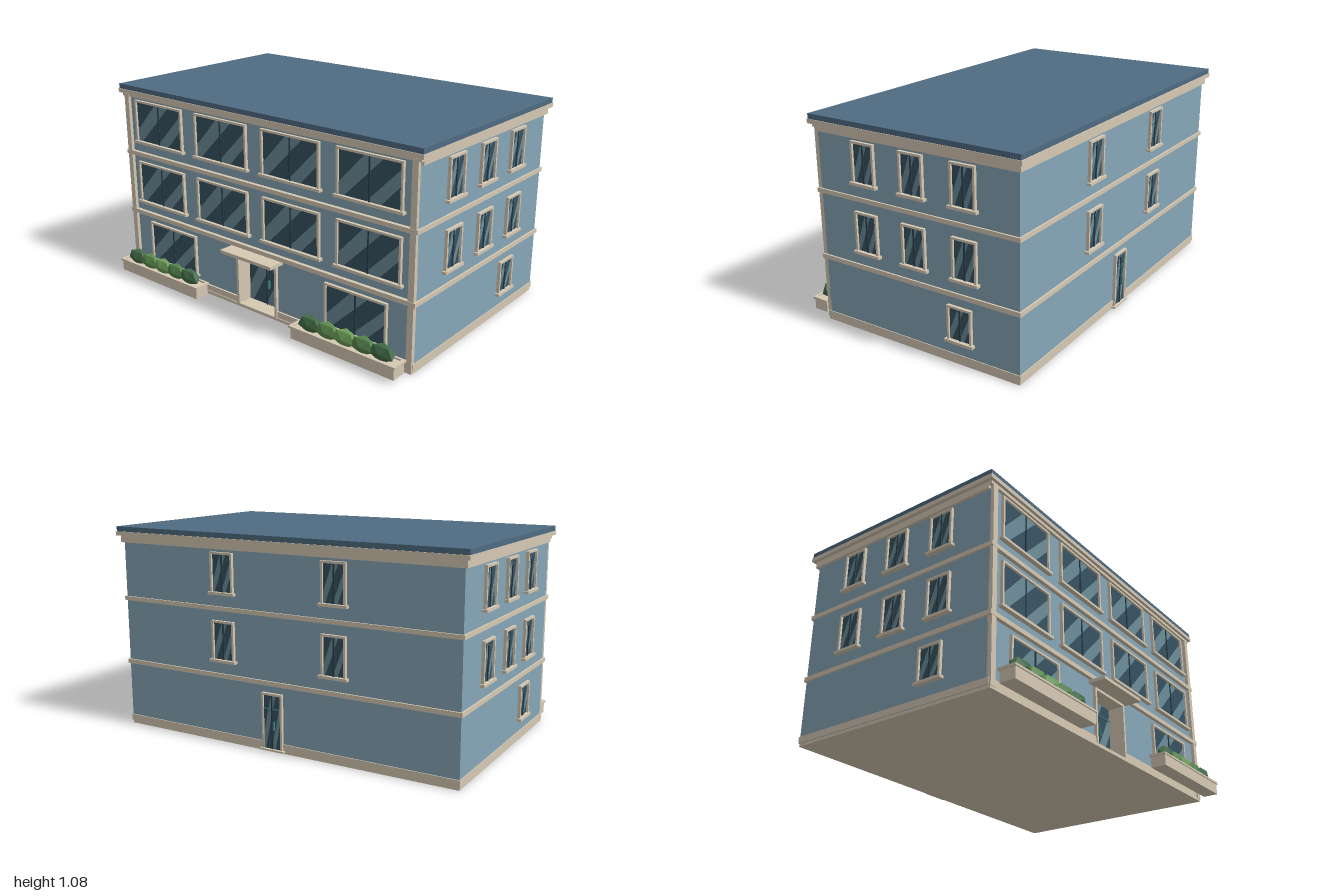
import * as THREE from 'three';

const mat = (color, extra = {}) => new THREE.MeshStandardMaterial({ color, ...extra });
const wall = mat(0x86a7b8), trim = mat(0xd6c9b3), roofBlue = mat(0x4f6b82);
const glass = mat(0x365262), shine = mat(0x6c8d9a), dark = mat(0x2a3f4a), teal = mat(0x3f8080);
const greens = [0x426c47, 0x5f8f50, 0x6fa05a, 0x55854c, 0x426c47].map((c) => mat(c, { flatShading: true }));

function add(parent, name, geometry, material) {
  const mesh = new THREE.Mesh(geometry, material);
  mesh.name = name;
  parent.add(mesh);
  return mesh;
}

// Box given by its limits on each axis
function box(parent, name, material, x0, x1, y0, y1, z0, z1) {
  const mesh = add(parent, name, new THREE.BoxGeometry(x1 - x0, y1 - y0, z1 - z0), material);
  mesh.position.set((x0 + x1) / 2, (y0 + y1) / 2, (z0 + z1) / 2);
  return mesh;
}

function group(parent, name) {
  const g = new THREE.Group();
  g.name = name;
  parent.add(g);
  return g;
}

// Pane with two slanted reflections, standing on y = 0 and facing +z
const streaks = [
  [[0.42, 1], [0.72, 1], [0.09, 0], [0, 0], [0, 0.28]],
  [[1, 0.88], [1, 0.52], [0.69, 0], [0.45, 0]],
];
function pane(g, w, h, y0, z) {
  box(g, 'glass', glass, -w / 2, w / 2, y0, y0 + h, z - 0.008, z);
  for (const s of streaks) {
    const shape = new THREE.Shape(s.map(([u, v]) => new THREE.Vector2((u - 0.5) * w, y0 + v * h)));
    add(g, 'reflection', new THREE.ShapeGeometry(shape), shine).position.z = z + 0.001;
  }
  box(g, 'mullion', dark, -0.004, 0.004, y0, y0 + h, z - 0.004, z + 0.005);
}

// Jambs and head around an opening
function surround(g, w, h, t, z0, z1) {
  for (const s of [-1, 1]) {
    const x = s * (w / 2 - t / 2);
    box(g, 'jamb', trim, x - t / 2, x + t / 2, 0, h, z0, z1);
  }
  box(g, 'head', trim, -w / 2 + t, w / 2 - t, h - t, h, z0, z1);
}

function windowUnit(parent, w, h) {
  const g = group(parent, 'window');
  const t = 0.011;
  surround(g, w, h, t, -0.005, 0.016);
  pane(g, w - 2 * t, h - t, 0, 0.005);
  box(g, 'sill', trim, -w / 2 - 0.011, w / 2 + 0.011, -0.014, 0, -0.005, 0.024);
  return g;
}

export function createModel() {
  const model = new THREE.Group();
  model.name = 'building';
  const X = 0.968, FRONT = 0.52, BACK = -0.625, RECESS = 0.44;

  // Walls: rear block plus a front layer with the door opening cut out
  box(model, 'walls', wall, -X, X, 0.015, 1.035, BACK, RECESS);
  const face = new THREE.Shape([[-X, 0.015], [-0.13, 0.015], [-0.13, 0.3], [0.13, 0.3],
    [0.13, 0.015], [X, 0.015], [X, 1.035], [-X, 1.035]].map((p) => new THREE.Vector2(...p)));
  const front = new THREE.ExtrudeGeometry(face, { depth: FRONT - RECESS, bevelEnabled: false });
  add(model, 'frontWall', front, wall).position.z = RECESS;

  // Base and plinth
  box(model, 'baseSlab', trim, -X, X, 0, 0.017, BACK, 0.535);
  box(model, 'plinth', trim, -0.972, 0.972, 0.017, 0.05, -0.63, RECESS - 0.01);
  for (const s of [-1, 1]) {
    const c = s * 0.555;
    box(model, 'frontPlinth', trim, c - 0.417, c + 0.417, 0.017, 0.05, RECESS - 0.01, 0.53);
    // Corner pilasters
    const p = s * 0.952;
    box(model, 'pilaster', trim, p - 0.016, p + 0.016, 0.012, 1.03, FRONT - 0.005, 0.538);
  }

  // Floor bands
  for (const [y0, y1] of [[0.341, 0.364], [0.689, 0.711]]) {
    box(model, 'floorBand', trim, -0.977, 0.977, y0, y1, -0.634, 0.54);
  }

  // Frieze, cornice and roof
  box(model, 'frieze', trim, -0.982, 0.982, 1.0, 1.035, -0.638, 0.518);
  box(model, 'frontFrieze', trim, -0.982, 0.982, 1.018, 1.035, 0.518, 0.536);
  box(model, 'cornice', trim, -1, 1, 1.036, 1.058, -0.655, 0.55);
  box(model, 'roof', roofBlue, -0.997, 0.997, 1.058, 1.084, -0.65, 0.546);

  // Front windows
  for (const y of [0.427, 0.777]) {
    for (const x of [-0.706, -0.235, 0.235, 0.706]) {
      windowUnit(model, 0.37, 0.228).position.set(x, y, FRONT);
    }
  }
  for (const x of [-0.636, 0.636]) windowUnit(model, 0.37, 0.222).position.set(x, 0.088, FRONT);

  // Side windows
  for (const s of [-1, 1]) {
    const place = (h, y, z) => {
      const w = windowUnit(model, 0.136, h);
      w.position.set(s * X, y, z);
      w.rotation.y = s * Math.PI / 2;
    };
    for (const y of [0.439, 0.786]) for (const z of [0.232, -0.052, -0.338]) place(0.2, y, z);
    place(0.172, 0.126, -0.052 - s * 0.251);
  }

  // Back windows
  for (const y of [0.439, 0.786]) {
    for (const x of [-0.323, 0.323]) {
      const w = windowUnit(model, 0.136, 0.2);
      w.position.set(x, y, BACK);
      w.rotation.y = Math.PI;
    }
  }

  // Recessed front entrance with canopy
  const entry = group(model, 'frontEntrance');
  entry.position.set(0, 0.015, 0);
  surround(entry, 0.28, 0.295, 0.014, RECESS, 0.536);
  pane(entry, 0.252, 0.28, 0.001, RECESS + 0.01);
  box(entry, 'doorRail', teal, -0.126, 0.126, 0.212, 0.217, RECESS, RECESS + 0.016);
  box(entry, 'doorHandle', teal, 0.014, 0.02, 0.1, 0.145, RECESS, RECESS + 0.024);
  box(model, 'canopy', trim, -0.175, 0.175, 0.319, 0.336, 0.515, 0.614);

  // Back door and step
  const rear = group(model, 'backDoor');
  rear.position.set(0.03, 0.017, BACK);
  rear.rotation.y = Math.PI;
  surround(rear, 0.12, 0.288, 0.011, -0.005, 0.016);
  pane(rear, 0.098, 0.277, 0, 0.009);
  box(rear, 'doorRail', teal, -0.049, 0.049, 0.205, 0.21, 0, 0.014);
  box(rear, 'doorHandle', teal, 0.01, 0.015, 0.1, 0.145, 0, 0.02);
  box(rear, 'step', trim, -0.07, 0.07, -0.008, 0.001, -0.005, 0.024);

  // Planters with faceted shrubs
  for (const s of [-1, 1]) {
    const g = group(model, 'planter');
    g.position.set(s * 0.642, 0, 0.609);
    box(g, 'trough', trim, -0.307, 0.307, 0.017, 0.077, -0.041, 0.041);
    for (const e of [-1, 1]) {
      box(g, 'rim', trim, -0.315, 0.315, 0.075, 0.086, e * 0.041 - 0.006, e * 0.041 + 0.006);
      box(g, 'rimEnd', trim, e * 0.306 - 0.009, e * 0.306 + 0.009, 0.075, 0.086, -0.035, 0.035);
    }
    greens.forEach((green, i) => {
      const shrub = add(g, 'shrub', new THREE.IcosahedronGeometry(1, 0).rotateX(0.5536), green);
      shrub.scale.set(0.078, 0.05, 0.031);
      shrub.position.set((i - 2) * 0.107, 0.108, 0);
    });
  }
  return model;
}
